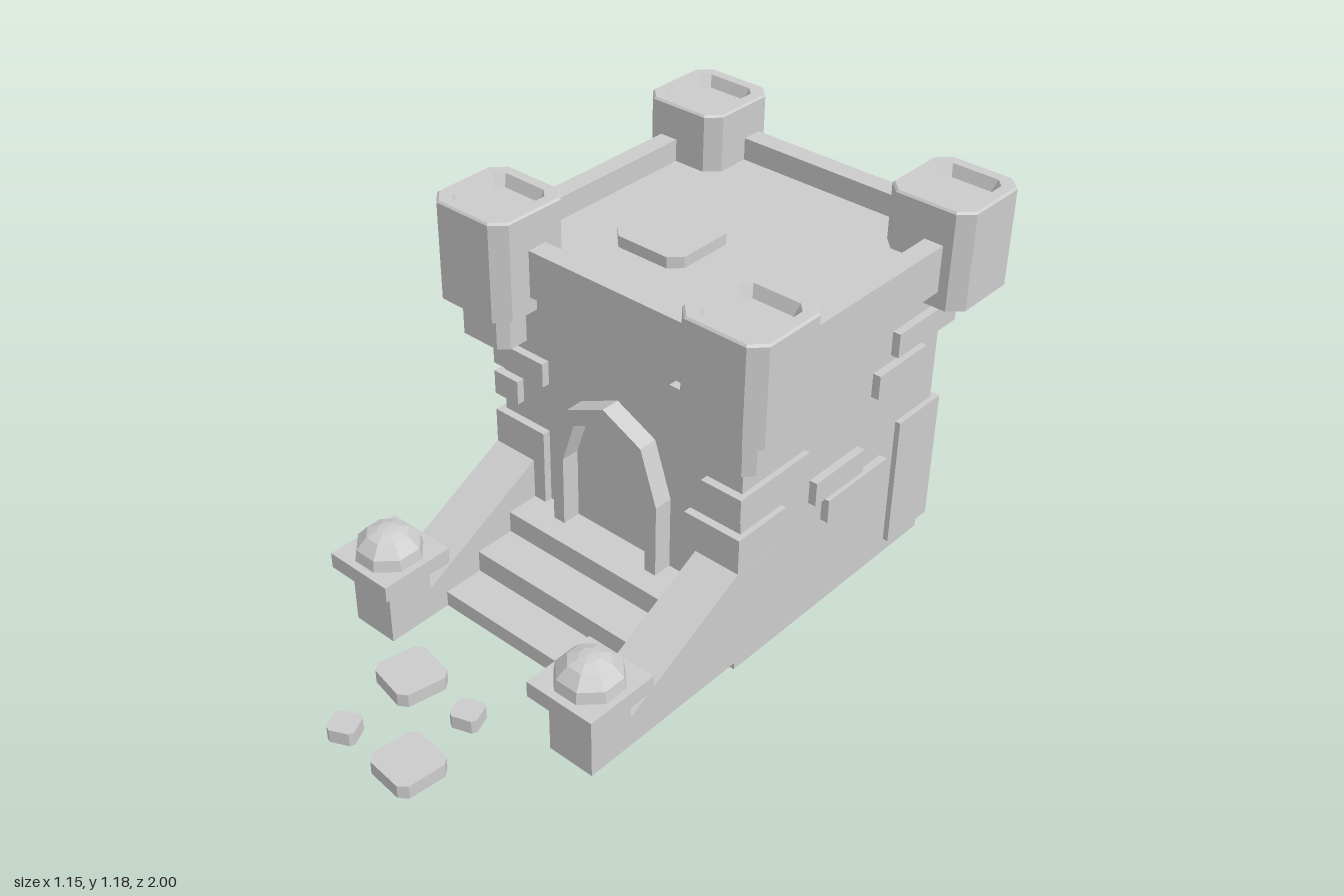
import * as THREE from 'three';

const material = new THREE.MeshStandardMaterial({ color: 0xcccccc, flatShading: true });

export function createModel() {
  const root = new THREE.Group();
  root.name = 'smallCastle';

  const add = (name, geometry, x = 0, y = 0, z = 0, turn = 0) => {
    const mesh = new THREE.Mesh(geometry, material);
    mesh.name = name;
    mesh.position.set(x, y, z);
    mesh.rotation.y = turn;
    root.add(mesh);
    return mesh;
  };

  // Box given by its limits on each axis
  const block = (name, x0, x1, y0, y1, z0, z1) =>
    add(name, new THREE.BoxGeometry(x1 - x0, y1 - y0, z1 - z0),
      (x0 + x1) / 2, (y0 + y1) / 2, (z0 + z1) / 2);

  // Solid with a chamfered square section; rings are [half width, chamfer, y], bottom to top
  const chamferedLoft = (rings) => {
    const loops = rings.map(([h, c, y]) => {
      const i = h - c;
      return [[h, i], [h, -i], [i, -h], [-i, -h], [-h, -i], [-h, i], [-i, h], [i, h]]
        .map(([x, z]) => [x, y, z]);
    });
    loops.unshift(loops[0].map(() => [0, rings[0][2], 0]));
    loops.push(loops[0].map(() => [0, rings[rings.length - 1][2], 0]));
    const positions = [];
    for (let r = 0; r < loops.length - 1; r++) {
      for (let k = 0; k < 8; k++) {
        const n = (k + 1) % 8;
        const a = loops[r][k], b = loops[r][n], c = loops[r + 1][n], d = loops[r + 1][k];
        if (r > 0) positions.push(...a, ...b, ...c);
        else positions.push(...a, ...b, ...c);
        if (r > 0 && r < loops.length - 2) positions.push(...a, ...c, ...d);
        else if (r === 0) positions.splice(-9, 9, ...a, ...c, ...d);
      }
    }
    const geometry = new THREE.BufferGeometry();
    geometry.setAttribute('position', new THREE.Float32BufferAttribute(positions, 3));
    geometry.computeVertexNormals();
    return geometry;
  };

  const polygon = (points) => new THREE.Shape(points.map(([x, y]) => new THREE.Vector2(x, y)));
  const extrude = (shape, depth) => new THREE.ExtrudeGeometry(shape, { depth, bevelEnabled: false });

  // Keep and roof
  block('keepWalls', -0.44, 0.44, 0, 0.95, -0.86, 0.02);
  block('roofFloor', -0.47, 0.47, 0.93, 1.0, -0.9, 0.01);
  block('frontParapet', -0.44, 0.44, 0.925, 1.07, -0.02, 0.045);
  block('backParapet', -0.44, 0.44, 0.925, 1.07, -0.935, -0.87);
  for (const s of [-1, 1]) {
    block('sideParapet', s * 0.475 - 0.03, s * 0.475 + 0.03, 0.925, 1.07, -0.865, 0.015);
  }
  add('roofSlab', chamferedLoft([[0.123, 0.035, 0.99], [0.123, 0.035, 1.035]]), -0.132, 0, -0.347);

  // Corner turrets with sunken tops; the front pair has corbels
  const turret = chamferedLoft([
    [0.1375, 0.04, 0.875], [0.1375, 0.04, 1.174], [0.132, 0.038, 1.18],
    [0.1, 0.026, 1.18], [0.086, 0.022, 1.145],
  ]);
  const corbel = chamferedLoft([[0.0925, 0.027, 0.755], [0.0925, 0.027, 0.88]]);
  for (const x of [-0.4375, 0.4375]) {
    for (const z of [0.0165, -0.8625]) add('turret', turret, x, 0, z);
    add('turretCorbel', corbel, x, 0, 0.0175);
  }

  // Stair walls, end posts with domes, and corner buttresses
  const wallShape = polygon([
    [-0.1, 0.05], [0.62, 0.05], [0.62, 0.24], [0.47, 0.24],
    [0.47, 0.15], [0.045, 0.37], [-0.1, 0.37],
  ]);
  const wallGeometry = extrude(wallShape, 0.15);
  wallGeometry.rotateY(-Math.PI / 2).translate(0.075, 0, 0);
  const domeProfile = [[0.1, 0], [0.094, 0.035], [0.062, 0.07], [0.03, 0.082], [0, 0.086]]
    .map(([r, y]) => new THREE.Vector2(r, y));
  const dome = new THREE.LatheGeometry(domeProfile, 8, Math.PI / 8);
  for (const s of [-1, 1]) {
    add('stairWall', wallGeometry, s * 0.383);
    block('postCap', s * 0.383 - 0.113, s * 0.383 + 0.113, 0.24, 0.29, 0.425, 0.66);
    add('postDome', dome, s * 0.383, 0.29, 0.544);
    block('frontButtress', s * 0.361 - 0.096, s * 0.361 + 0.096, 0.05, 0.483, -0.155, 0.045);
    block('backButtress', s * 0.361 - 0.096, s * 0.361 + 0.096, 0.05, 0.483, -0.883, -0.685);
  }

  // Steps
  [[0.1, 0.41], [0.17, 0.28], [0.24, 0.15]].forEach(([top, front]) =>
    block('step', -0.312, 0.312, 0.05, top, -0.02, front));

  // Door arch
  const arch = polygon([
    [-0.195, 0.24], [-0.155, 0.24], [-0.155, 0.467], [-0.11, 0.605], [0, 0.655], [0.11, 0.605],
    [0.155, 0.467], [0.155, 0.24], [0.195, 0.24], [0.195, 0.475], [0.137, 0.645], [0, 0.71],
    [-0.137, 0.645], [-0.195, 0.475],
  ]);
  add('doorArch', extrude(arch, 0.07), 0, 0, 0.01);

  // Raised bricks: x0, x1, y0, z0, z1
  const bricks = [
    [0.205, 0.457, 0.79, -0.245, 0.045],
    [0.32, 0.457, 0.54, -0.245, 0.045],
    [0.42, 0.465, 0.418, -0.5, -0.28],
    [0.42, 0.465, 0.322, -0.62, -0.345],
    [0.42, 0.465, 0.64, -0.765, -0.545],
    [0.23, 0.465, 0.74, -0.903, -0.625],
    [-0.457, -0.262, 0.645, -0.045, 0.045],
    [-0.457, -0.365, 0.54, -0.045, 0.045],
  ];
  for (const [x0, x1, y0, z0, z1] of bricks) block('wallBrick', x0, x1, y0, y0 + 0.077, z0, z1);

  // Stepping stones: x, z, half width, turn
  const stones = [
    [-0.165, 0.68, 0.08, -0.2], [0.078, 0.91, 0.08, -0.1],
    [0.06, 0.68, 0.04, 0.35], [-0.147, 0.934, 0.04, 0.45],
  ];
  for (const [x, z, h, turn] of stones) {
    add('steppingStone', chamferedLoft([[h, h * 0.28, 0.027], [h, h * 0.28, 0.07]]), x, 0, z, turn);
  }

  return root;
}
